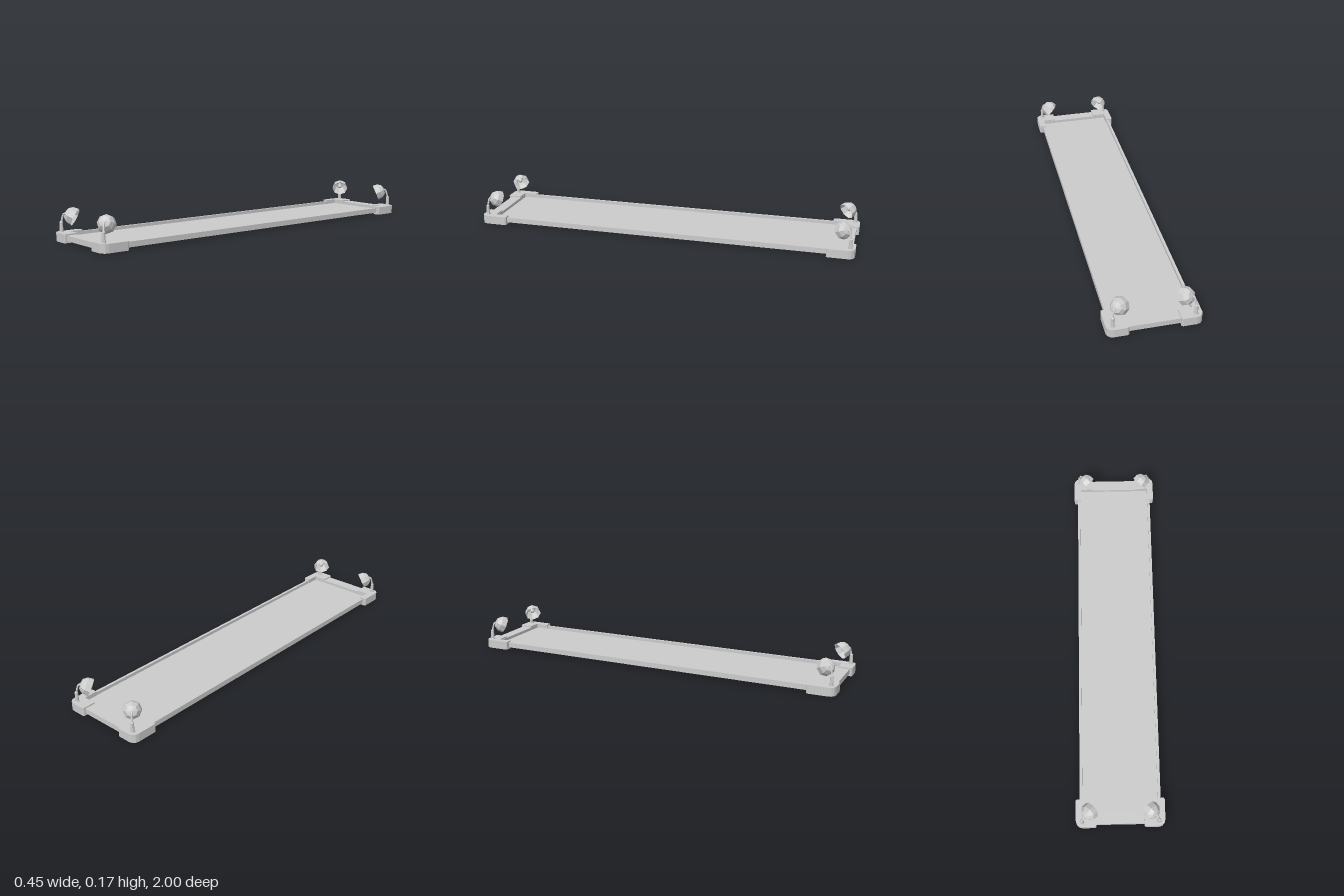
import * as THREE from 'three';

const material = new THREE.MeshStandardMaterial({ color: 0xcccccc, flatShading: true });
const shellMaterial = new THREE.MeshStandardMaterial({ color: 0xcccccc, flatShading: true, side: THREE.DoubleSide });

function add(parent, name, geometry, x = 0, y = 0, z = 0, mat = material) {
  const mesh = new THREE.Mesh(geometry, mat);
  mesh.name = name;
  mesh.position.set(x, y, z);
  parent.add(mesh);
  return mesh;
}

// L-shaped corner guard with a rounded outer corner, drawn in plan
function cornerGeometry(sx, sz) {
  const outline = [
    [0.122, 0.93], [0.19, 0.93], [0.19, 0.86], [0.222, 0.86], [0.227, 0.866],
    [0.227, 0.967], [0.223, 0.983], [0.212, 0.995], [0.195, 1], [0.128, 1], [0.122, 0.994],
  ];
  // shape y becomes -z once the extrusion is laid flat
  const points = outline.map(([x, z]) => new THREE.Vector2(x * sx, -z * sz));
  const geometry = new THREE.ExtrudeGeometry(new THREE.Shape(points), { depth: 0.044, bevelEnabled: false });
  return geometry.rotateX(-Math.PI / 2);
}

// Lamp standing at its post, with the head leaning toward local +z
function createLamp() {
  const lamp = new THREE.Group();
  lamp.name = 'lamp';
  add(lamp, 'lampPost', new THREE.CylinderGeometry(0.008, 0.01, 0.046, 8), 0, 0.066, 0);
  add(lamp, 'lampFoot', new THREE.CylinderGeometry(0.012, 0.013, 0.004, 8), 0, 0.046, 0);
  add(lamp, 'lampJoint', new THREE.SphereGeometry(0.009, 8, 6), 0, 0.09, 0);

  const path = new THREE.CatmullRomCurve3([
    new THREE.Vector3(0, 0.09, 0),
    new THREE.Vector3(0, 0.115, 0.006),
    new THREE.Vector3(0, 0.133, 0.013),
    new THREE.Vector3(0, 0.138, 0.025),
  ]);
  add(lamp, 'lampArm', new THREE.TubeGeometry(path, 8, 0.005, 6), 0, 0, 0);

  // Eight-sided shade, open on its lower side, with a bulb inside
  const head = new THREE.Group();
  head.name = 'lampHead';
  head.position.set(0, 0.117, 0.07);
  head.rotation.x = THREE.MathUtils.degToRad(-65);
  lamp.add(head);
  const profile = [[0.045, 0], [0.042, 0.028], [0.027, 0.048], [0, 0.055]];
  const points = profile.map(([r, y]) => new THREE.Vector2(r, y));
  add(head, 'lampShade', new THREE.LatheGeometry(points, 8), 0, 0, 0, shellMaterial);
  add(head, 'lampBulb', new THREE.SphereGeometry(0.013, 8, 6), 0, 0.026, 0);
  add(head, 'lampSocket', new THREE.CylinderGeometry(0.008, 0.008, 0.02, 8), 0, 0.043, 0);
  return lamp;
}

export function createModel() {
  const model = new THREE.Group();
  model.name = 'platform';

  // Recessed deck
  add(model, 'deck', new THREE.BoxGeometry(0.4, 0.011, 1.95), 0, 0.0155, 0);

  // Raised rails around the deck
  for (const s of [-1, 1]) {
    add(model, 'sideRail', new THREE.BoxGeometry(0.014, 0.027, 1.97), s * 0.2, 0.0235, 0);
    add(model, 'endRail', new THREE.BoxGeometry(0.386, 0.027, 0.058), 0, 0.0235, s * 0.957);
  }

  // Corner guards and lamps
  for (const sx of [-1, 1]) {
    for (const sz of [-1, 1]) {
      add(model, 'cornerGuard', cornerGeometry(sx, sz));
      const lamp = createLamp();
      lamp.position.set(sx * 0.195, 0, sz * 0.975);
      lamp.rotation.y = Math.atan2(-sx, -sz);
      model.add(lamp);
    }
  }
  return model;
}
